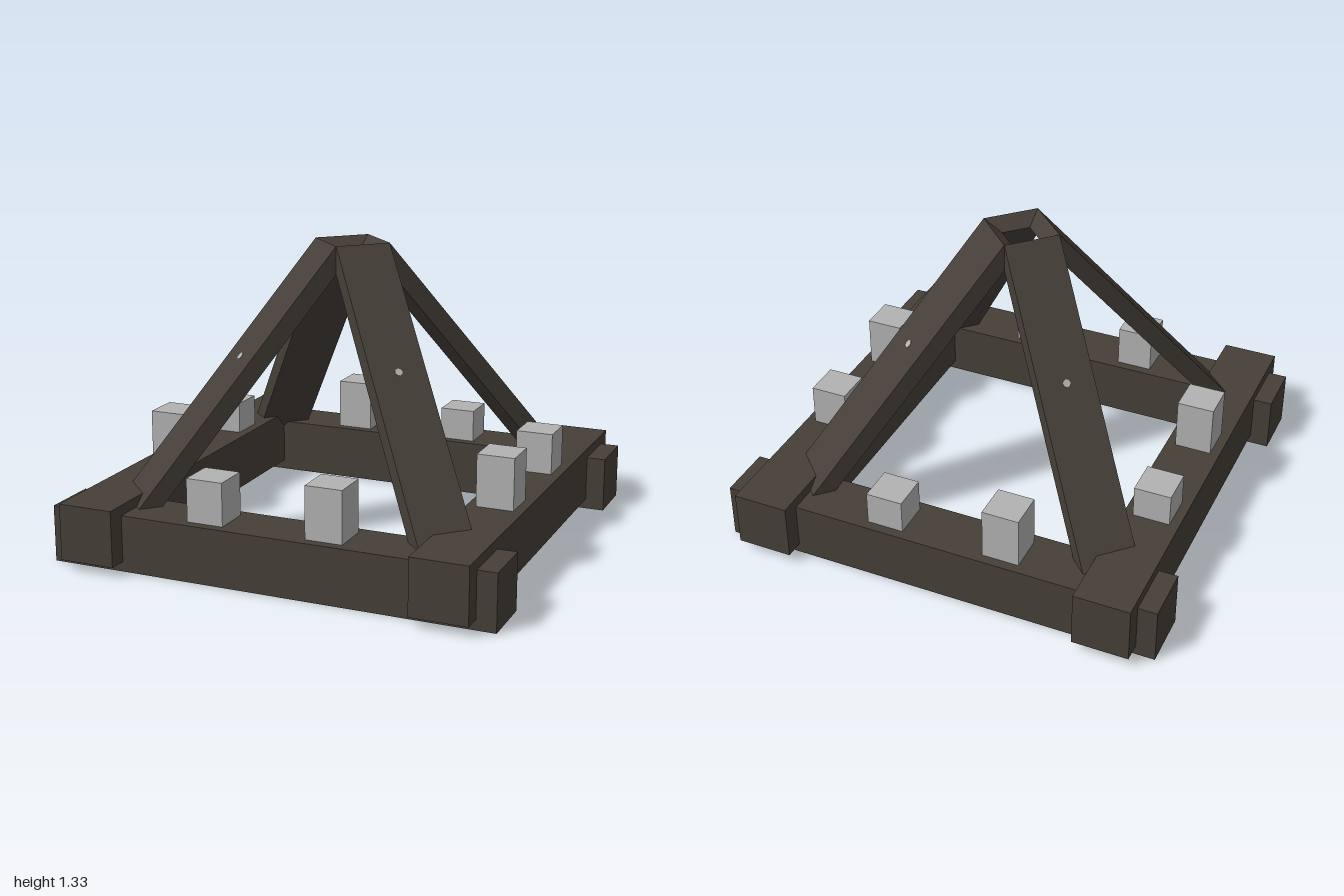
import * as THREE from 'three';

export function createModel() {
  const model = new THREE.Group();
  const wood = new THREE.MeshStandardMaterial({ color: 0x463f38 });
  wood.name = 'darkWood';
  const stone = new THREE.MeshStandardMaterial({ color: 0xb2b2b2 });
  stone.name = 'paleGrey';

  const box = (name, mat, size, pos, parent = model) => {
    const mesh = new THREE.Mesh(new THREE.BoxGeometry(...size), mat);
    mesh.name = name;
    mesh.position.set(...pos);
    parent.add(mesh);
    return mesh;
  };

  // Base frame: two low rails crossed by two slightly higher ones
  const R = 0.79, W = 0.25;
  for (const s of [-1, 1]) {
    box('crossRail', wood, [2, W, W], [0, 0.125, s * R]);
    box('sideRail', wood, [W, W, 2], [s * R, 0.17, 0]);
  }

  // Blocks standing on the rails: x, z, top height, rail top
  const blocks = [
    [-0.29, R, 0.44, 0.25], [0.25, R, 0.48, 0.25],
    [-0.29, -R, 0.48, 0.25], [0.25, -R, 0.4, 0.25],
    [-R, -0.34, 0.44, 0.295], [-R, 0.205, 0.525, 0.295],
    [R, -0.295, 0.48, 0.295], [R, 0.25, 0.525, 0.295],
  ];
  for (const [x, z, top, base] of blocks) {
    const h = top - base + 0.02;
    box('block', stone, [0.165, h, 0.165], [x, top - h / 2, z]);
  }

  // Four square-cut planks leaning together from the corners
  const tilt = THREE.MathUtils.degToRad(40), length = 1.53, thick = 0.08;
  for (let i = 0; i < 4; i++) {
    const corner = new THREE.Group();
    corner.name = 'legGroup';
    corner.rotation.y = Math.PI / 4 + i * Math.PI / 2;
    // Origin at the top outer edge; local -y runs down the plank, +z is its outer face
    const leg = new THREE.Group();
    leg.name = 'leg';
    leg.position.set(0, 1.325, 0.125);
    leg.rotation.x = -tilt;
    box('legPlank', wood, [W, length, thick], [0, -length / 2, -thick / 2], leg);
    // Small peg head set in the outer face
    const peg = new THREE.Mesh(new THREE.CylinderGeometry(0.017, 0.017, 0.008, 8), stone);
    peg.name = 'peg';
    peg.rotation.x = Math.PI / 2;
    peg.position.set(0, -0.62, -0.002);
    leg.add(peg);
    corner.add(leg);
    model.add(corner);
  }
  return model;
}
